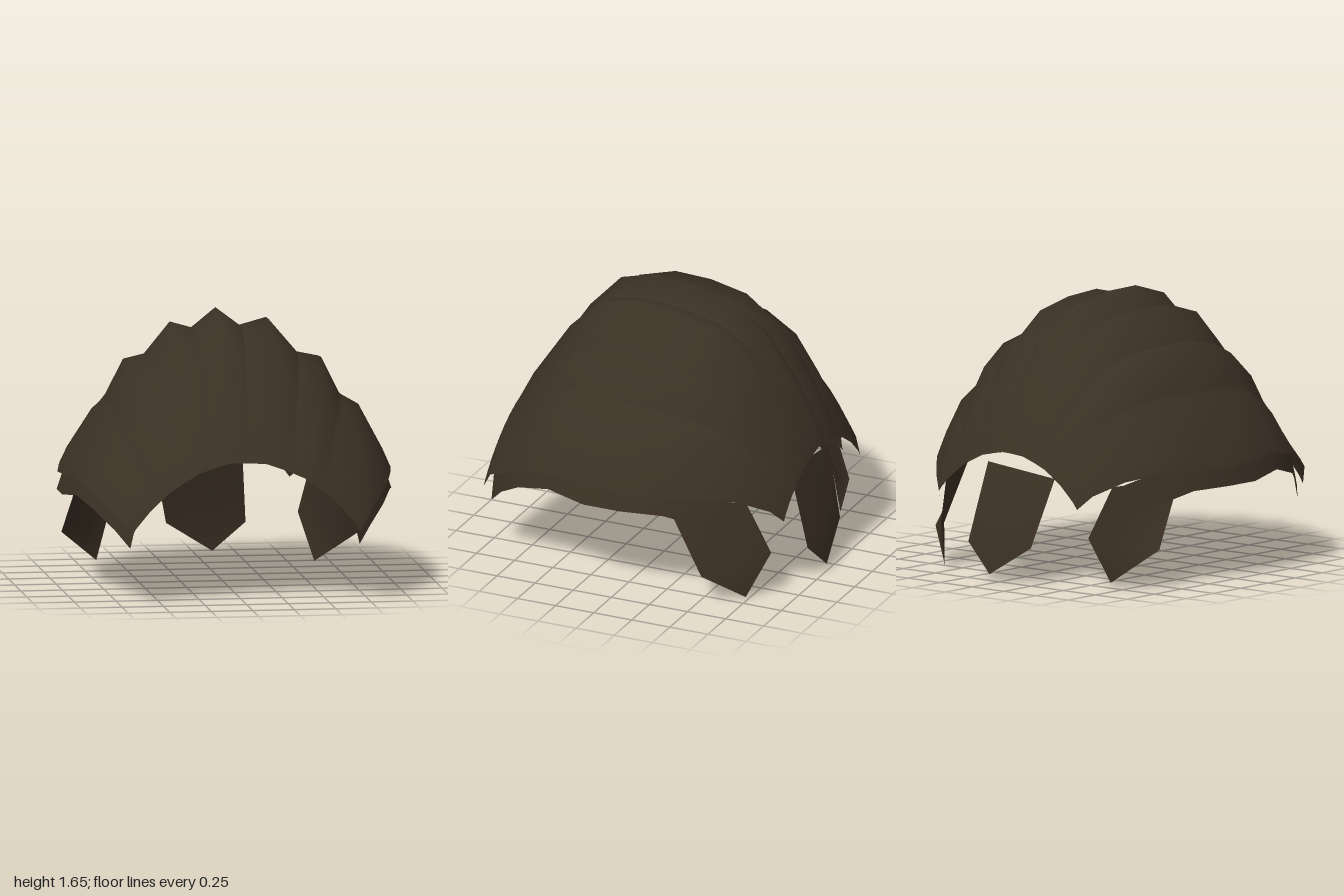
import * as THREE from 'three';

const hair = new THREE.MeshStandardMaterial({ color: 0x3b3024, side: THREE.DoubleSide });
hair.name = 'darkBrownHair';

// Dome stations from front to back: z, half width, crown height, rim height
const stations = [
  [0.955, 0.69, 0.85, 0.42], [0.9, 0.77, 0.97, 0.54], [0.64, 0.9, 1.36, 0.66],
  [0.43, 0.95, 1.58, 0.7], [0.19, 0.985, 1.65, 0.69], [-0.05, 0.985, 1.64, 0.67],
  [-0.3, 0.94, 1.59, 0.68], [-0.52, 0.86, 1.44, 0.68], [-0.71, 0.735, 1.18, 0.64],
  [-0.86, 0.61, 0.92, 0.56], [-0.92, 0.54, 0.77, 0.48],
];

// Side under-layer, front to back: z, half width, lower edge height
const band = [
  [0.93, 0.69, 0.34], [0.83, 0.77, 0.44], [0.67, 0.87, 0.54], [0.44, 0.945, 0.6],
  [0.19, 0.99, 0.565], [-0.05, 0.99, 0.565], [-0.31, 0.935, 0.56],
  [-0.53, 0.84, 0.49], [-0.73, 0.7, 0.41],
];

// Strand cross-sections from right to left: [angle from the crown, height factor]
const strands = [
  [[-90, 1], [-72, 0.87], [-53, 0.86], [-43, 0.8]],
  [[-47, 0.8], [-37, 1], [-26, 0.86]],
  [[-30, 0.86], [-18, 1], [-8, 0.88]],
  [[-12, 0.88], [-2, 1], [8, 0.88]],
  [[4, 0.88], [16, 1], [28, 0.86]],
  [[25, 0.86], [36, 1], [46, 0.78]],
  [[42, 0.8], [54, 1], [72, 0.92], [90, 1]],
];

// Sheet of nu x nv points; u runs towards +x, v towards the back
function sheet(name, nu, nv, point) {
  const positions = [], index = [];
  for (let v = 0; v < nv; v++) {
    for (let u = 0; u < nu; u++) {
      positions.push(...point(u, v));
      if (u < nu - 1 && v < nv - 1) {
        const a = v * nu + u;
        index.push(a, a + 1, a + nu, a + 1, a + nu + 1, a + nu);
      }
    }
  }
  return mesh(name, positions, index);
}

function mesh(name, positions, index) {
  const g = new THREE.BufferGeometry();
  g.setAttribute('position', new THREE.Float32BufferAttribute(positions, 3));
  g.setIndex(index);
  g.computeVertexNormals();
  const m = new THREE.Mesh(g, hair);
  m.name = name;
  return m;
}

// Point on the dome; the height factor fades to 1 at the front and back edges
function dome(v, angle, factor, edgeFade) {
  const [z, w, top, rim] = stations[v];
  const t = v / (stations.length - 1);
  const fade = edgeFade + (1 - edgeFade) * Math.sqrt(Math.abs(Math.sin(Math.PI * t)));
  const h = Math.pow(Math.max(0, Math.cos(angle)), 1.77) * (1 - (1 - factor) * fade);
  const sweep = v === 0 ? 0.025 * Math.abs(Math.sin(angle)) : 0;
  return [w * Math.sin(angle), rim + (top - rim) * h, z + sweep];
}

// One strand running from the brow to the nape, twisting slightly
function strand(section) {
  return sheet('strand', section.length, stations.length, (u, v) => {
    const angle = THREE.MathUtils.degToRad(section[u][0]);
    const turn = 0.1 * (2 * v / (stations.length - 1) - 1) * Math.cos(angle);
    return dome(v, angle + turn, section[u][1], 0.1);
  });
}

// Hanging pentagonal lock, fanned around an offset centre
function lock(name, centre, rim) {
  const index = [];
  rim.forEach((_, i) => index.push(0, 1 + i, 1 + (i + 1) % rim.length));
  return mesh(name, [centre, ...rim].flat(), index);
}

export function createModel() {
  const group = new THREE.Group();

  // Smooth cap underneath the strands
  group.add(sheet('cap', 25, stations.length, (u, v) => {
    const angle = (u / 24 - 0.5) * Math.PI;
    return dome(v, angle, 0.88 - 0.1 * Math.sin(angle) ** 2, 0);
  }));

  // Ridged strands lying over the cap
  const crown = new THREE.Group();
  crown.name = 'strands';
  strands.forEach((section) => crown.add(strand(section)));
  group.add(crown);

  // Narrow lower layer along each side rim
  for (const side of [-1, 1]) {
    group.add(sheet(side > 0 ? 'leftUnderLayer' : 'rightUnderLayer', 3, band.length, (u, v) => {
      const [z, x, y] = band[v];
      const h = side > 0 ? 1 - u / 2 : u / 2;
      return [side * x * (1 - 0.06 * h), y + 0.18 * h, z];
    }));
  }

  // Loose locks behind
  group.add(lock('backLock', [-0.02, 0.35, -0.95], [
    [-0.29, 0.63, -0.83], [0.24, 0.68, -0.82], [0.28, 0.21, -0.955],
    [0.085, 0.035, -0.99], [-0.2, 0.215, -0.945],
  ].reverse()));
  group.add(lock('leftLock', [0.72, 0.24, -0.66], [
    [0.83, 0.62, -0.27], [0.89, 0.19, -0.54], [0.66, 0, -0.725],
    [0.58, 0.28, -0.855], [0.64, 0.6, -0.72],
  ].reverse()));
  group.add(lock('rightLock', [-0.71, 0.24, -0.72], [
    [-0.81, 0.62, -0.3], [-0.885, 0.23, -0.57], [-0.65, 0.03, -0.74],
    [-0.56, 0.3, -0.84], [-0.63, 0.6, -0.7],
  ]));
  return group;
}
